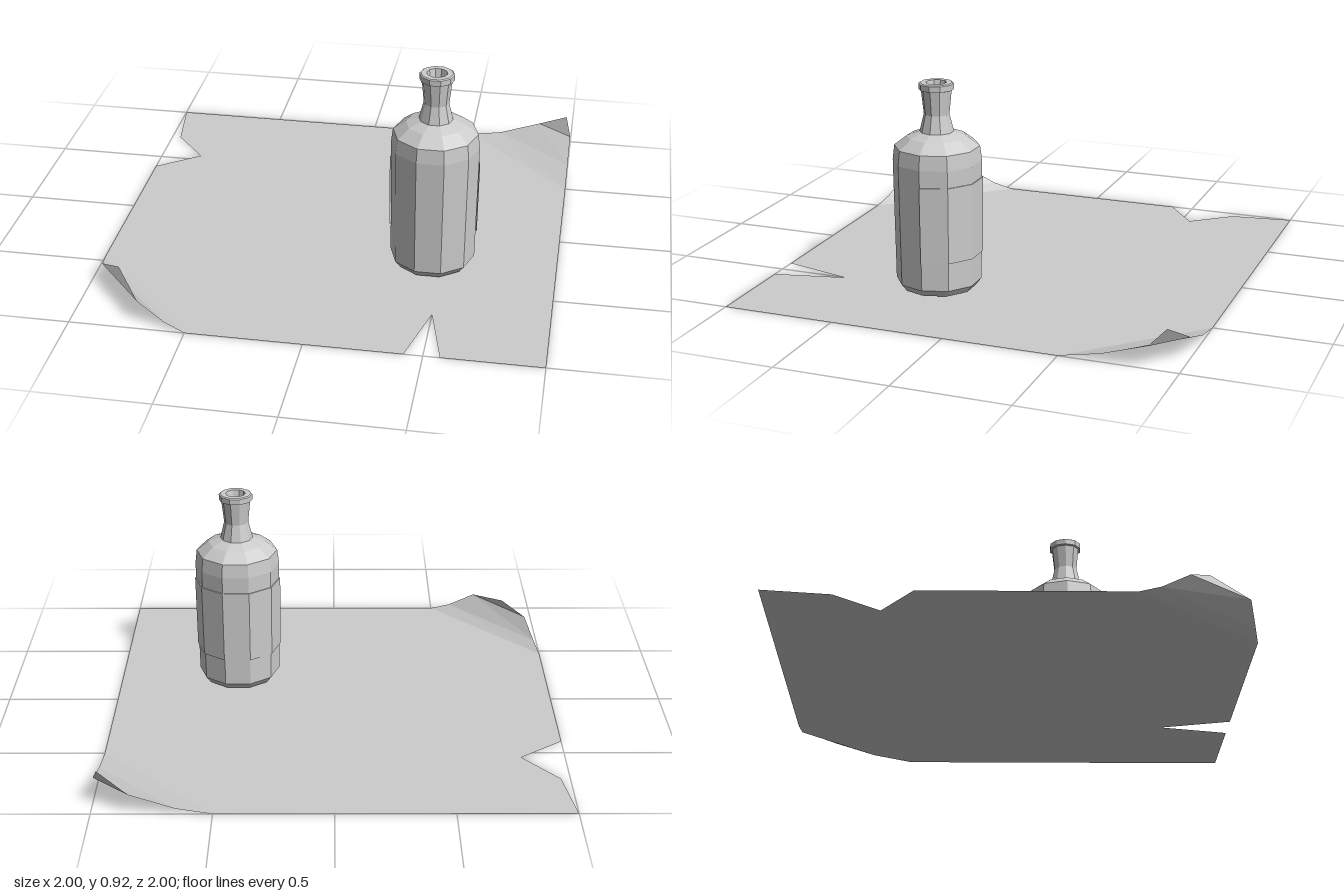
import * as THREE from 'three';

const grey = new THREE.MeshStandardMaterial({ color: 0xcccccc, flatShading: true });
const thin = new THREE.MeshStandardMaterial({ color: 0xcccccc, flatShading: true, side: THREE.DoubleSide });
const SIDES = 10;

function add(parent, name, geometry, material) {
  const mesh = new THREE.Mesh(geometry, material);
  mesh.name = name;
  parent.add(mesh);
  return mesh;
}

function lathe(points, segments, start, sweep) {
  return new THREE.LatheGeometry(points.map(([r, y]) => new THREE.Vector2(r, y)), segments, start, sweep);
}

// Curled corner: strips between fold lines [a, b], closed by a tip triangle
function curl(folds, tip) {
  const pos = [];
  for (let i = 0; i + 1 < folds.length; i++) {
    const [a, b] = folds[i], [c, d] = folds[i + 1];
    pos.push(...a, ...b, ...d, ...a, ...d, ...c);
  }
  const [a, b] = folds[folds.length - 1];
  pos.push(...a, ...b, ...tip);
  const g = new THREE.BufferGeometry();
  g.setAttribute('position', new THREE.Float32BufferAttribute(pos, 3));
  g.computeVertexNormals();
  return g;
}

export function createModel() {
  const group = new THREE.Group();

  // Flat part of the sheet with its two torn notches, as [x, z]
  const outline = [
    [-1, -1], [-0.96, -0.72], [-0.81, -0.54], [-1, -0.4], [-1, 0.47],
    [-0.5, 1], [0.42, 1], [0.5, 0.69], [0.57, 1], [1, 1], [1, -0.5], [0.5, -1],
  ];
  const sheet = new THREE.Group();
  sheet.name = 'paperSheet';
  const flat = new THREE.ShapeGeometry(new THREE.Shape(outline.map(([x, z]) => new THREE.Vector2(x, -z))));
  add(sheet, 'flatSheet', flat.rotateX(-Math.PI / 2), thin);

  // Corners that curl upward
  add(sheet, 'frontCurl', curl([
    [[-1, 0, 0.47], [-0.5, 0, 1]],
    [[-0.98, 0.03, 0.56], [-0.59, 0.03, 0.98]],
    [[-0.945, 0.1, 0.68], [-0.71, 0.1, 0.95]],
  ], [-0.84, 0.148, 0.77]), thin);
  add(sheet, 'backCurl', curl([
    [[1, 0, -0.5], [0.5, 0, -1]],
    [[1, 0.035, -0.68], [0.65, 0.025, -1]],
    [[1, 0.095, -0.87], [0.84, 0.09, -1]],
  ], [0.975, 0.167, -0.94]), thin);
  group.add(sheet);

  // Ten-sided bottle, hollow at the neck
  const bottle = new THREE.Group();
  bottle.name = 'bottle';
  bottle.position.set(0.447, 0, 0.25);
  add(bottle, 'bottleBody', lathe([
    [0, 0.01], [0.162, 0.01], [0.187, 0.042], [0.193, 0.58], [0.185, 0.645],
    [0.13, 0.687], [0.074, 0.708], [0.055, 0.785], [0.066, 0.89],
    [0.076, 0.893], [0.076, 0.918], [0.07, 0.922], [0.045, 0.922],
    [0.038, 0.88], [0.034, 0.78], [0, 0.78],
  ], SIDES, Math.PI / 2, Math.PI * 2), grey);

  // Label wrapped round the back half
  add(bottle, 'label', lathe([
    [0.185, 0.168], [0.194, 0.168], [0.197, 0.505], [0.188, 0.505],
  ], SIDES / 2, Math.PI / 2, Math.PI), thin);
  group.add(bottle);

  return group;
}
